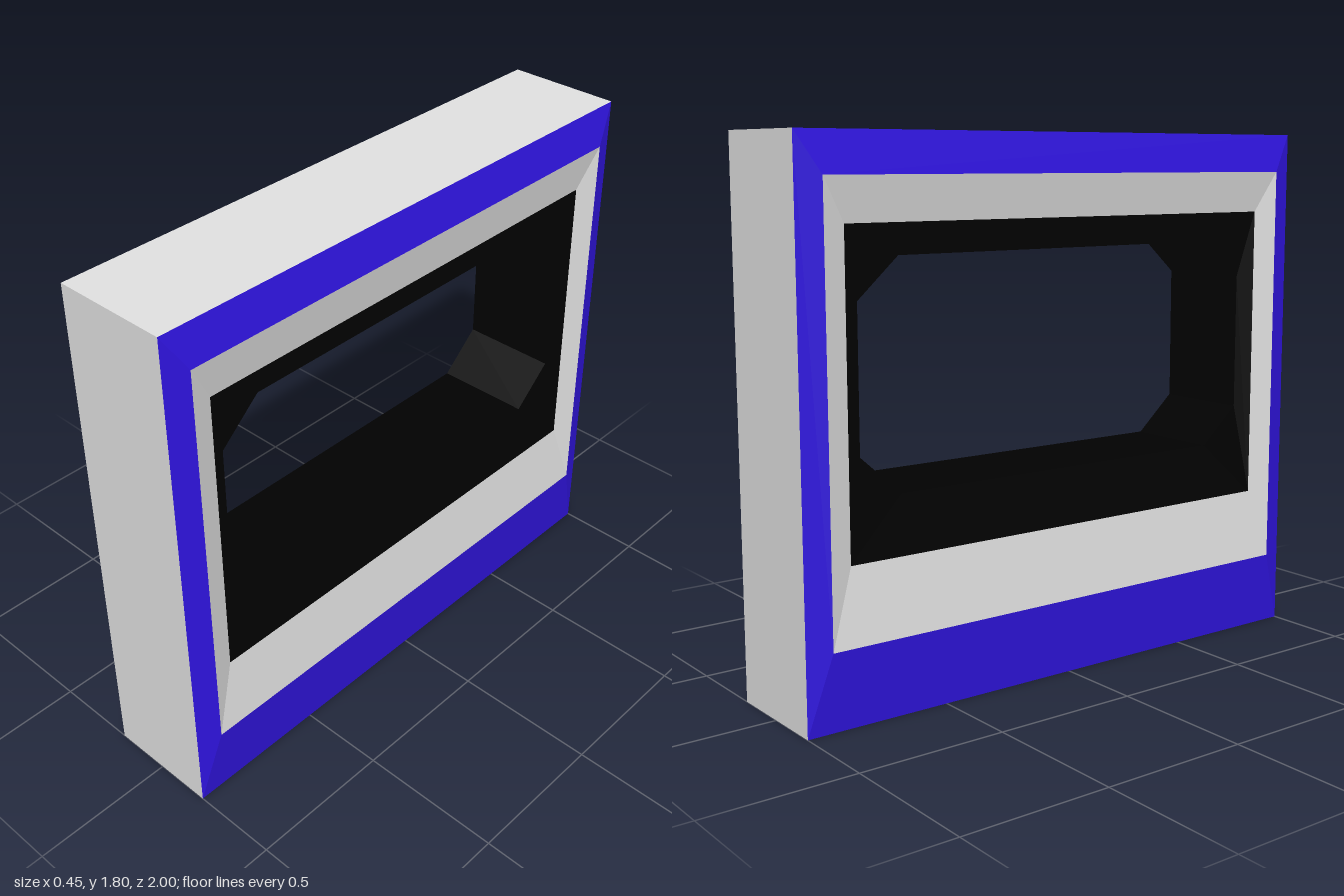
import * as THREE from 'three';

// Closed loops of [z, y], eight points each, counter-clockwise from the +x side.
// A rectangle uses each corner twice so it can join the eight-sided opening.
function loop(halfZ, y0, y1, cutZ = 0, cutY = 0) {
  const z = halfZ, zc = halfZ - cutZ;
  return [
    [zc, y0], [-zc, y0], [-z, y0 + cutY], [-z, y1 - cutY],
    [-zc, y1], [zc, y1], [z, y1 - cutY], [z, y0 + cutY],
  ];
}

// Flat-faced band joining loop a at x = xa to loop b at x = xb.
function band(a, xa, b, xb) {
  const pos = [];
  const tri = (...pts) => {
    const [p, q, r] = pts.map((v) => new THREE.Vector3(...v));
    const area = q.clone().sub(p).cross(r.clone().sub(p)).length();
    if (area > 1e-8) pts.forEach((v) => pos.push(...v));
  };
  for (let i = 0; i < 8; i++) {
    const j = (i + 1) % 8;
    const at = (l, k, x) => [x, l[k][1], l[k][0]];
    const a0 = at(a, i, xa), a1 = at(a, j, xa), b0 = at(b, i, xb), b1 = at(b, j, xb);
    tri(a0, a1, b1);
    tri(a0, b1, b0);
  }
  const geo = new THREE.BufferGeometry();
  geo.setAttribute('position', new THREE.Float32BufferAttribute(pos, 3));
  geo.computeVertexNormals();
  return geo;
}

export function createModel() {
  const material = (name, color) => {
    const m = new THREE.MeshStandardMaterial({ color });
    m.name = name;
    return m;
  };
  const grey = material('light grey', 0xe1e1e1);
  const blue = material('blue', 0x3014e1);
  const black = material('black', 0x010101);

  const outer = loop(1, 0, 1.8);
  const ridge = loop(0.92, 0.26, 1.67);
  const inner = loop(0.84, 0.51, 1.53);
  const hole = loop(0.785, 0.7, 1.43, 0.145, 0.13);

  const group = new THREE.Group();
  group.name = 'frame';
  const add = (name, mat, ...args) => {
    const mesh = new THREE.Mesh(band(...args), mat);
    mesh.name = name;
    group.add(mesh);
  };

  // Outer walls and the tunnel through the middle
  add('outerWalls', grey, outer, -0.2, outer, 0.2);
  add('tunnel', black, hole, 0.172, hole, -0.172);

  // Faces on the +x side, then the same bands reversed on the -x side
  const rings = [
    ['Border', blue, outer, 0.2, ridge, 0.225],
    ['Bevel', grey, ridge, 0.225, inner, 0.2],
    ['Surround', black, inner, 0.2, hole, 0.172],
  ];
  for (const [name, mat, a, xa, b, xb] of rings) {
    add('left' + name, mat, a, xa, b, xb);
    add('right' + name, mat, b, -xb, a, -xa);
  }
  return group;
}
